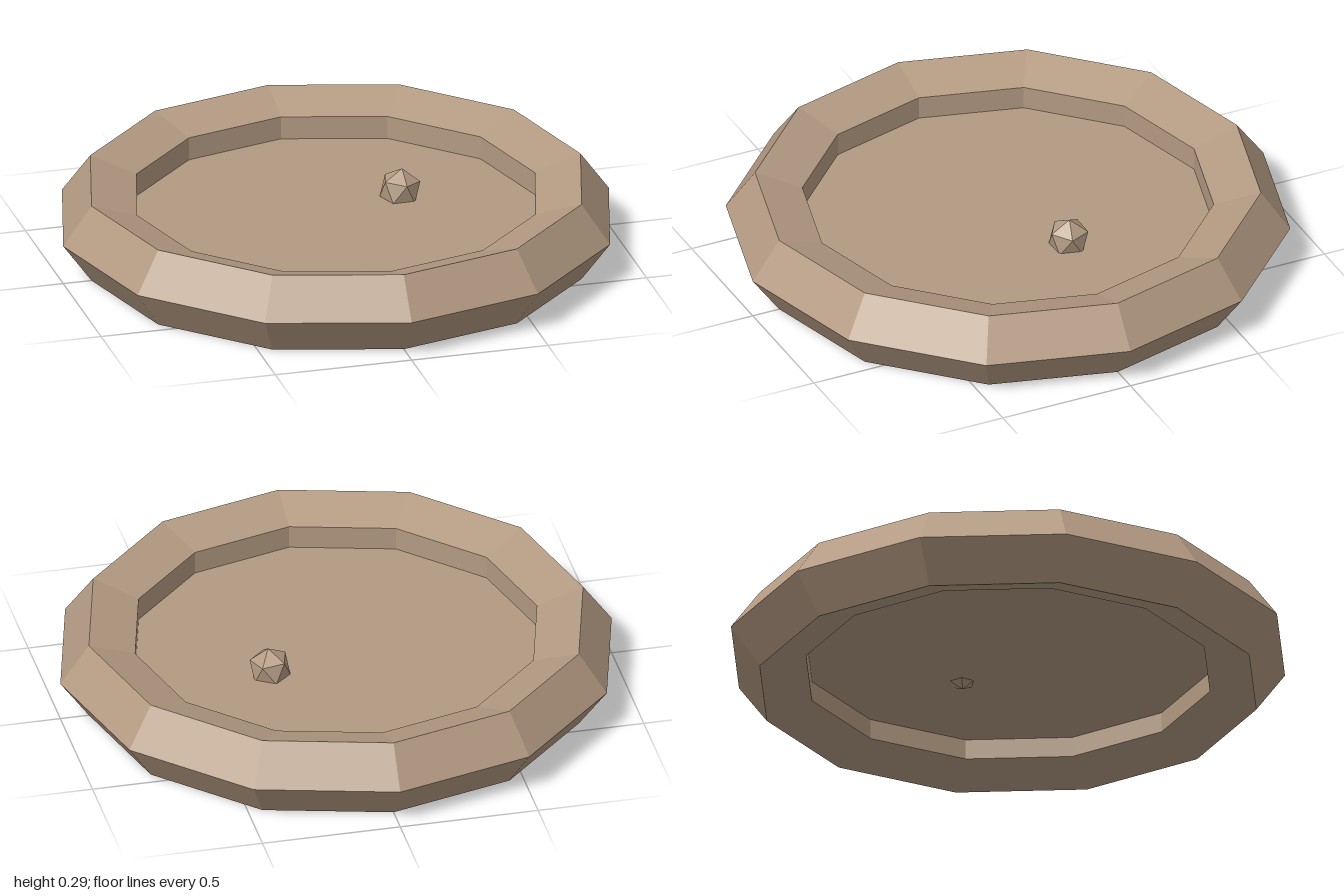
import * as THREE from 'three';

export function createModel() {
  const group = new THREE.Group();
  const clay = new THREE.MeshStandardMaterial({ color: 0xb39a82, flatShading: true });
  clay.name = 'tan clay';

  const tube = 0.15;
  const midY = tube * Math.sin(Math.PI * 0.4); // half height of the five-sided rim

  const add = (name, geometry, x, y, z) => {
    const mesh = new THREE.Mesh(geometry, clay);
    mesh.name = name;
    mesh.position.set(x, y, z);
    group.add(mesh);
    return mesh;
  };

  // Twelve-sided rim with a pentagonal section
  add('rim', new THREE.TorusGeometry(1 - tube, tube, 5, 12).rotateX(-Math.PI / 2), 0, midY, 0);

  // Thin floor whose edge is buried inside the rim
  add('floor', new THREE.CylinderGeometry(0.8, 0.8, 0.018, 12), 0, midY - 0.005, 0);

  // Faceted pebble, one corner up, sunk into the floor
  const pebble = new THREE.IcosahedronGeometry(0.077, 0);
  const corner = new THREE.Vector3(0, 1, (1 + Math.sqrt(5)) / 2).normalize();
  const up = new THREE.Vector3(0.1, 1, 0).normalize();
  pebble.applyQuaternion(new THREE.Quaternion().setFromUnitVectors(corner, up));
  add('pebble', pebble, 0.265, 0.177, -0.11);

  return group;
}
